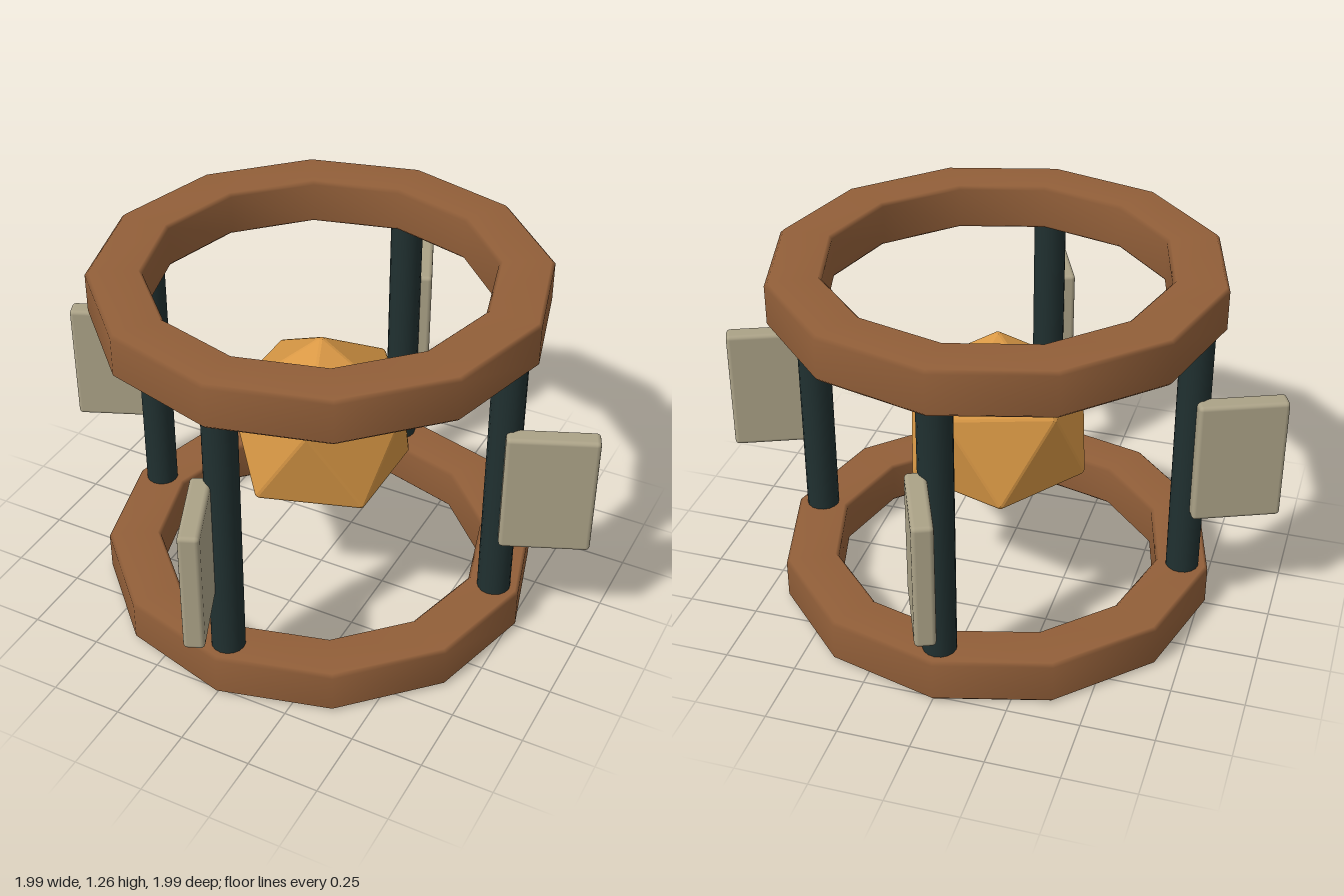
import * as THREE from 'three';
import { RoundedBoxGeometry } from 'three/addons/geometries/RoundedBoxGeometry.js';
import { ConvexGeometry } from 'three/addons/geometries/ConvexGeometry.js';

const material = (name, color) => {
  const m = new THREE.MeshStandardMaterial({ color });
  m.name = name;
  return m;
};

// Twelve-sided ring with a chamfered rectangular section, standing on y = 0
function ringGeometry(inner, outer, height, bevel) {
  const mid = (inner + outer) / 2;
  const profile = [
    [mid, 0], [outer - bevel, 0], [outer, bevel], [outer, height - bevel],
    [outer - bevel, height], [inner + bevel, height], [inner, height - bevel],
    [inner, bevel], [inner + bevel, 0], [mid, 0],
  ].map(([x, y]) => new THREE.Vector2(x, y));
  return new THREE.LatheGeometry(profile, 12);
}

// Icosahedron with a vertex on top and narrow bevels along its edges
function crystalGeometry(radius, inset) {
  const ico = new THREE.IcosahedronGeometry(radius, 0);
  ico.rotateZ(-Math.atan(2 / (1 + Math.sqrt(5))));
  const pos = ico.attributes.position;
  const points = [];
  for (let i = 0; i < pos.count; i += 3) {
    const face = [0, 1, 2].map((k) => new THREE.Vector3().fromBufferAttribute(pos, i + k));
    const centre = new THREE.Vector3();
    face.forEach((v) => centre.addScaledVector(v, 1 / 3));
    face.forEach((v) => points.push(v.clone().lerp(centre, inset)));
  }
  return new ConvexGeometry(points);
}

export function createModel() {
  const model = new THREE.Group();
  model.name = 'cageWithCrystal';

  const copper = material('copper brown', 0x925f39);
  const darkIron = material('dark iron', 0x203030);
  const stone = material('pale stone', 0xaba287);
  const amber = material('amber', 0xd99845);

  const add = (parent, name, geometry, mat, x, y, z) => {
    const mesh = new THREE.Mesh(geometry, mat);
    mesh.name = name;
    mesh.position.set(x, y, z);
    parent.add(mesh);
    return mesh;
  };

  // Bottom and top rings
  const ring = ringGeometry(0.585, 0.772, 0.16, 0.012);
  add(model, 'bottomRing', ring, copper, 0, 0, 0);
  add(model, 'topRing', ring, copper, 0, 1.105, 0);

  // Four posts, each with a slanted paddle outside it
  const post = new THREE.CylinderGeometry(0.058, 0.058, 0.97, 16);
  const paddle = new RoundedBoxGeometry(0.307, 0.45, 0.07, 2, 0.015);
  for (let i = 0; i < 4; i++) {
    const side = new THREE.Group();
    side.name = 'side' + (i + 1);
    side.rotation.y = (i * Math.PI) / 2;
    add(side, 'post', post, darkIron, 0.68, 0.633, 0);
    add(side, 'paddle', paddle, stone, 0.845, 0.635, 0).rotation.y = THREE.MathUtils.degToRad(23);
    model.add(side);
  }

  // Floating crystal in the middle
  add(model, 'crystal', crystalGeometry(0.355, 0.05), amber, 0, 0.635, 0);

  return model;
}
